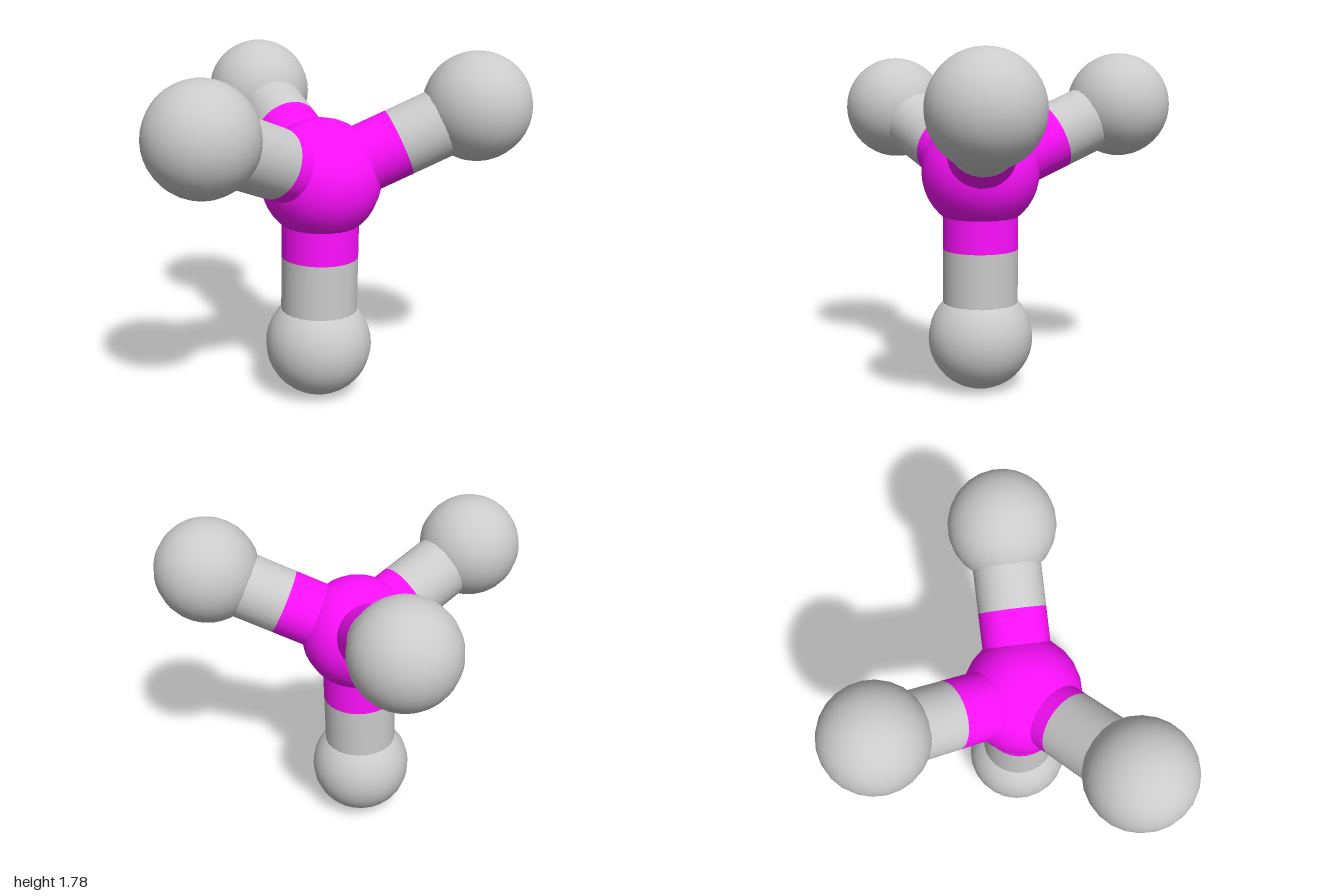
import * as THREE from 'three';

const grey = new THREE.MeshStandardMaterial({ color: 0xcccccc });
const magenta = new THREE.MeshStandardMaterial({ color: 0xff10ff });

function ball(name, center, radius, material) {
  const mesh = new THREE.Mesh(new THREE.SphereGeometry(radius, 24, 20), material);
  mesh.name = name;
  mesh.position.copy(center);
  return mesh;
}

// Round rod running from one point to another
function rod(name, from, to, radius, material) {
  const dir = to.clone().sub(from);
  const mesh = new THREE.Mesh(new THREE.CylinderGeometry(radius, radius, dir.length(), 28), material);
  mesh.name = name;
  mesh.position.copy(from).add(to).multiplyScalar(0.5);
  mesh.quaternion.setFromUnitVectors(new THREE.Vector3(0, 1, 0), dir.normalize());
  return mesh;
}

export function createModel() {
  const model = new THREE.Group();
  model.name = 'tetrahedralMolecule';

  // Central ball
  const center = new THREE.Vector3(-0.01, 1.155, 0.262);
  model.add(ball('centralBall', center, 0.306, magenta));

  // Outer balls: position, rod radius, fraction of the rod coloured like the centre
  const arms = [
    ['bottom', [-0.02, 0.275, 0.265], 0.197, 0.46],
    ['right', [-0.726, 1.462, 0.48], 0.176, 0.41],
    ['left', [0.724, 1.508, 0.537], 0.174, 0.5],
    ['back', [0.013, 1.487, -0.537], 0.175, 0.515],
  ];
  for (const [name, position, radius, split] of arms) {
    const arm = new THREE.Group();
    arm.name = name + 'Arm';
    const end = new THREE.Vector3(...position);
    const joint = center.clone().lerp(end, split);
    arm.add(
      rod('innerRod', center, joint, radius, magenta),
      rod('outerRod', joint, end, radius, grey),
      ball('outerBall', end, 0.275, grey),
    );
    model.add(arm);
  }
  return model;
}
